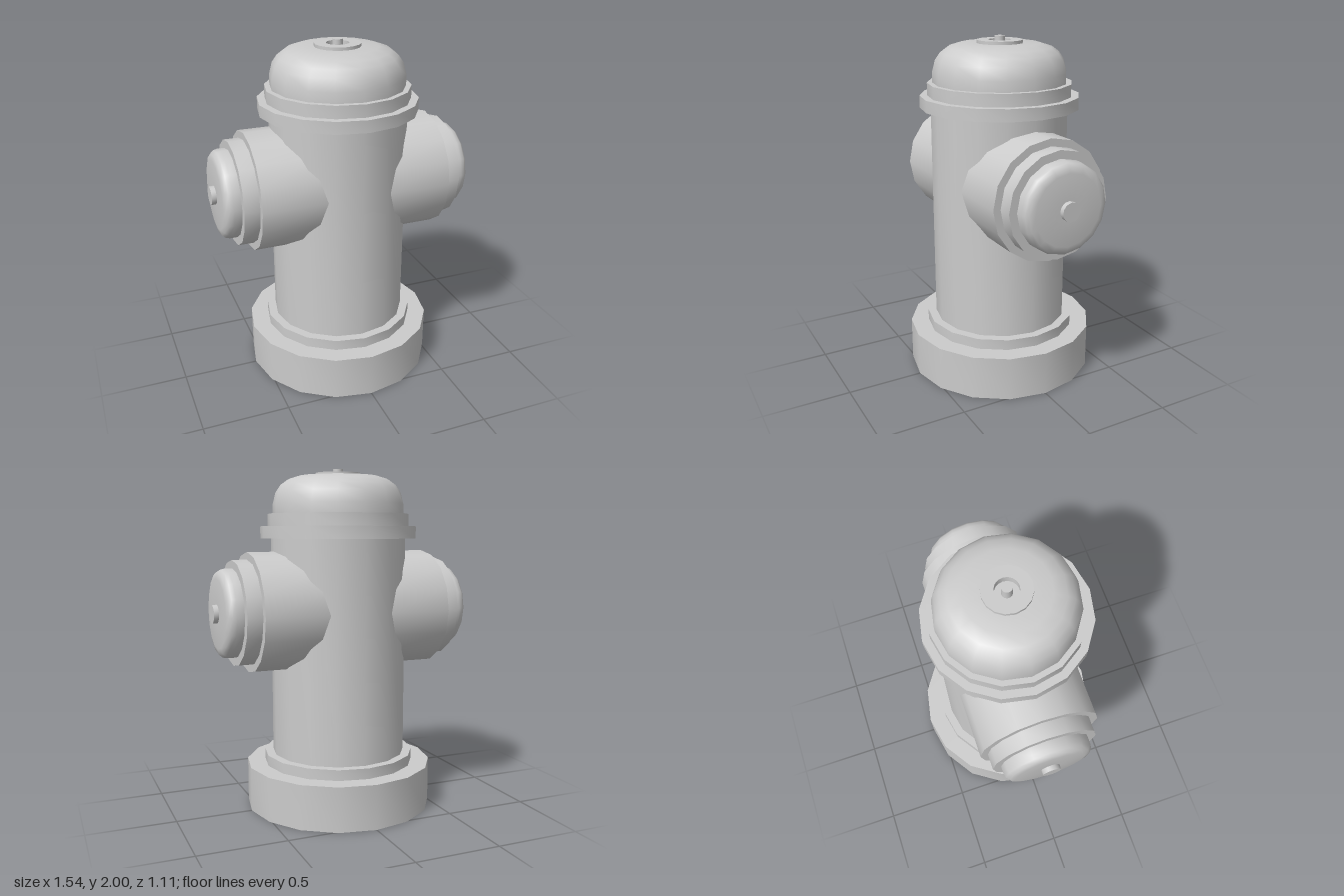
import * as THREE from 'three';
import { toCreasedNormals } from 'three/addons/utils/BufferGeometryUtils.js';

const SIDES = 16;
const material = new THREE.MeshStandardMaterial({ color: 0xcccccc, side: THREE.DoubleSide });

// Turned part from [radius, height] pairs, smooth round the axis, sharp at steps
function turned(name, profile) {
  const points = profile.map(([r, y]) => new THREE.Vector2(r, y));
  const geometry = toCreasedNormals(new THREE.LatheGeometry(points, SIDES), 0.65);
  const mesh = new THREE.Mesh(geometry, material);
  mesh.name = name;
  return mesh;
}

// Side outlet, turned along its own axis
function createOutlet(name) {
  const outlet = new THREE.Group();
  outlet.name = name;
  outlet.add(
    turned('outletPipe', [[0.345, 0.17], [0.345, 0.56], [0.302, 0.56]]),
    turned('outletRing', [[0.302, 0.56], [0.302, 0.648], [0.255, 0.648]]),
    turned('outletCap', [
      [0.255, 0.648], [0.255, 0.69], [0.249, 0.714], [0.232, 0.732],
      [0.2, 0.74], [0.052, 0.74],
    ]),
    turned('outletNut', [[0.053, 0.735], [0.053, 0.768], [0, 0.768]]),
  );
  outlet.position.y = 1.18;
  return outlet;
}

export function createModel() {
  const hydrant = new THREE.Group();
  hydrant.name = 'hydrant';

  // Hollow foot, open underneath
  hydrant.add(
    turned('base', [[0.555, 0], [0.555, 0.26], [0.448, 0.26]]),
    turned('baseCollar', [[0.448, 0.26], [0.448, 0.322], [0.398, 0.322]]),
    turned('barrel', [[0.398, 0.322], [0.398, 1.6]]),
  );

  // Stepped flange and domed bonnet
  hydrant.add(
    turned('flange', [[0.398, 1.6], [0.46, 1.6], [0.46, 1.67], [0.416, 1.67]]),
    turned('bonnetCollar', [[0.416, 1.67], [0.416, 1.742], [0.385, 1.742]]),
    turned('bonnet', [
      [0.385, 1.742], [0.385, 1.8], [0.367, 1.868], [0.338, 1.91],
      [0.298, 1.939], [0.23, 1.96], [0.1, 1.96],
    ]),
  );

  // Washer with a recess around the operating nut
  hydrant.add(
    turned('topWasher', [
      [0.132, 1.955], [0.132, 1.978], [0.065, 1.978], [0.065, 1.935], [0.028, 1.935],
    ]),
    turned('topNut', [[0.029, 1.935], [0.029, 2], [0, 2]]),
  );

  // Outlets on both sides
  for (const [name, side] of [['leftOutlet', 1], ['rightOutlet', -1]]) {
    const outlet = createOutlet(name);
    outlet.rotation.z = -side * Math.PI / 2;
    hydrant.add(outlet);
  }
  return hydrant;
}
